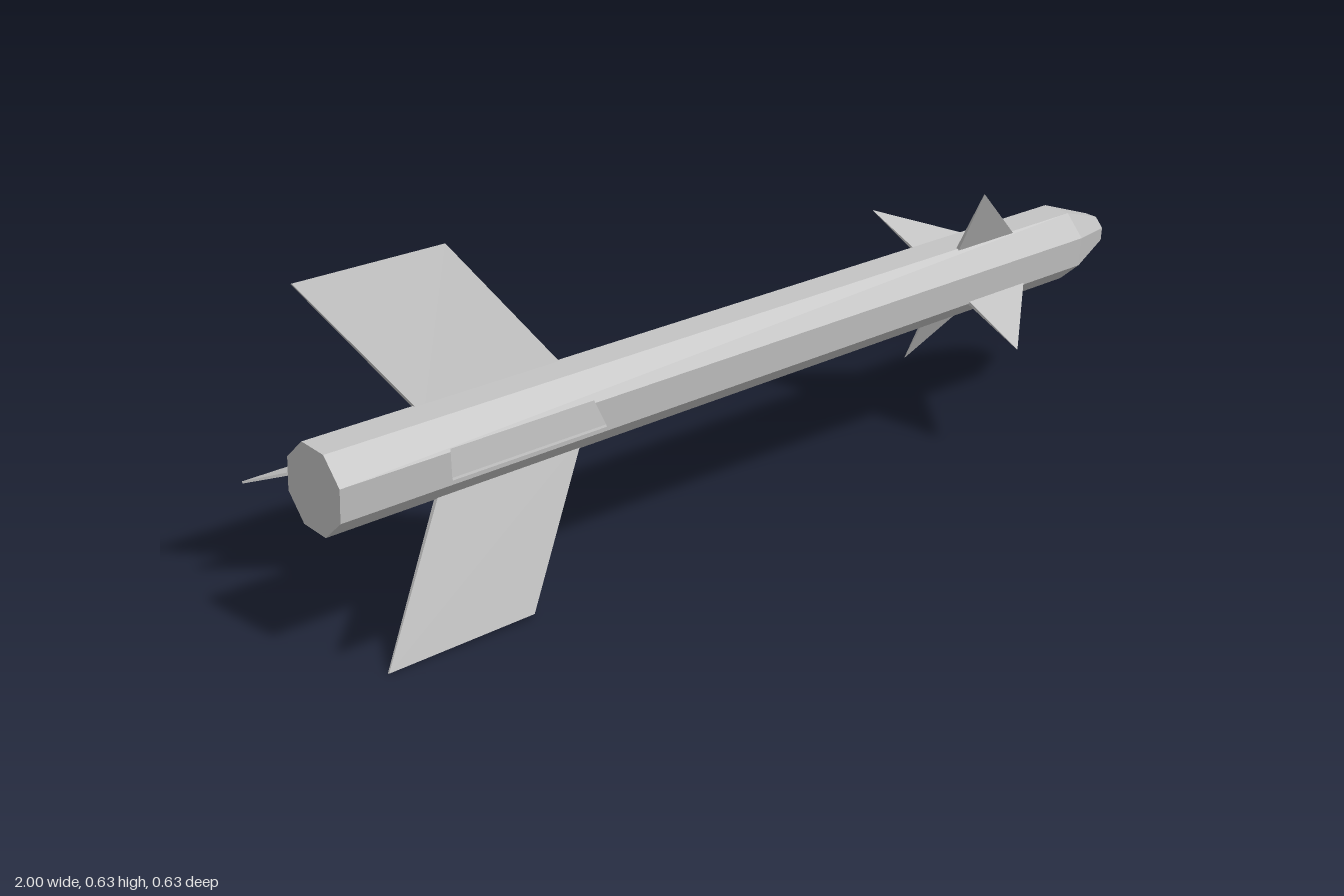
import * as THREE from 'three';

const faceted = (geometry) => {
  const g = geometry.index ? geometry.toNonIndexed() : geometry;
  g.computeVertexNormals();
  return g;
};

// Tapered plate: root and tip are [radius, rear x, front x, thickness]
function finGeometry(root, tip) {
  const g = new THREE.BoxGeometry(1, 1, 1);
  const p = g.attributes.position;
  for (let i = 0; i < p.count; i++) {
    const [r, rear, front, t] = p.getY(i) > 0 ? tip : root;
    p.setXYZ(i, p.getX(i) > 0 ? front : rear, r, p.getZ(i) * t);
  }
  return faceted(g);
}

export function createModel() {
  const model = new THREE.Group();
  model.name = 'missile';
  const grey = new THREE.MeshStandardMaterial({ color: 0xc0c0c0, flatShading: true });
  grey.name = 'light grey';

  // Slightly pitched and yawed airframe, rolled about its own axis
  const airframe = new THREE.Group();
  airframe.name = 'airframe';
  airframe.position.set(0, 0.331, 0.0075);
  airframe.quaternion.setFromUnitVectors(
    new THREE.Vector3(1, 0, 0), new THREE.Vector3(2, 0.042, 0.021).normalize());
  model.add(airframe);
  const rolled = new THREE.Group();
  rolled.name = 'rolledBody';
  rolled.rotation.x = THREE.MathUtils.degToRad(-17);
  airframe.add(rolled);

  // Eight-sided body with flat tail and blunt nose
  const profile = [[0, -1], [0.08, -1], [0.08, 0.855], [0.036, 0.98], [0, 0.995]]
    .map(([r, x]) => new THREE.Vector2(r, x));
  const body = new THREE.Mesh(
    faceted(new THREE.LatheGeometry(profile, 8).rotateZ(-Math.PI / 2)), grey);
  body.name = 'body';
  rolled.add(body);

  // Four swept tail fins, and four small canards set halfway between them
  const tail = finGeometry([0.06, -0.772, -0.468, 0.01], [0.325, -0.95, -0.65, 0.004]);
  const canard = finGeometry([0.06, 0.503, 0.694, 0.008], [0.223, 0.503, 0.504, 0.001]);
  for (let i = 0; i < 4; i++) {
    for (const [name, geometry, offset] of [['tailFin', tail, 0], ['canard', canard, Math.PI / 4]]) {
      const fin = new THREE.Mesh(geometry, grey);
      fin.name = name + (i + 1);
      fin.rotation.x = i * Math.PI / 2 + offset;
      rolled.add(fin);
    }
  }
  return model;
}
